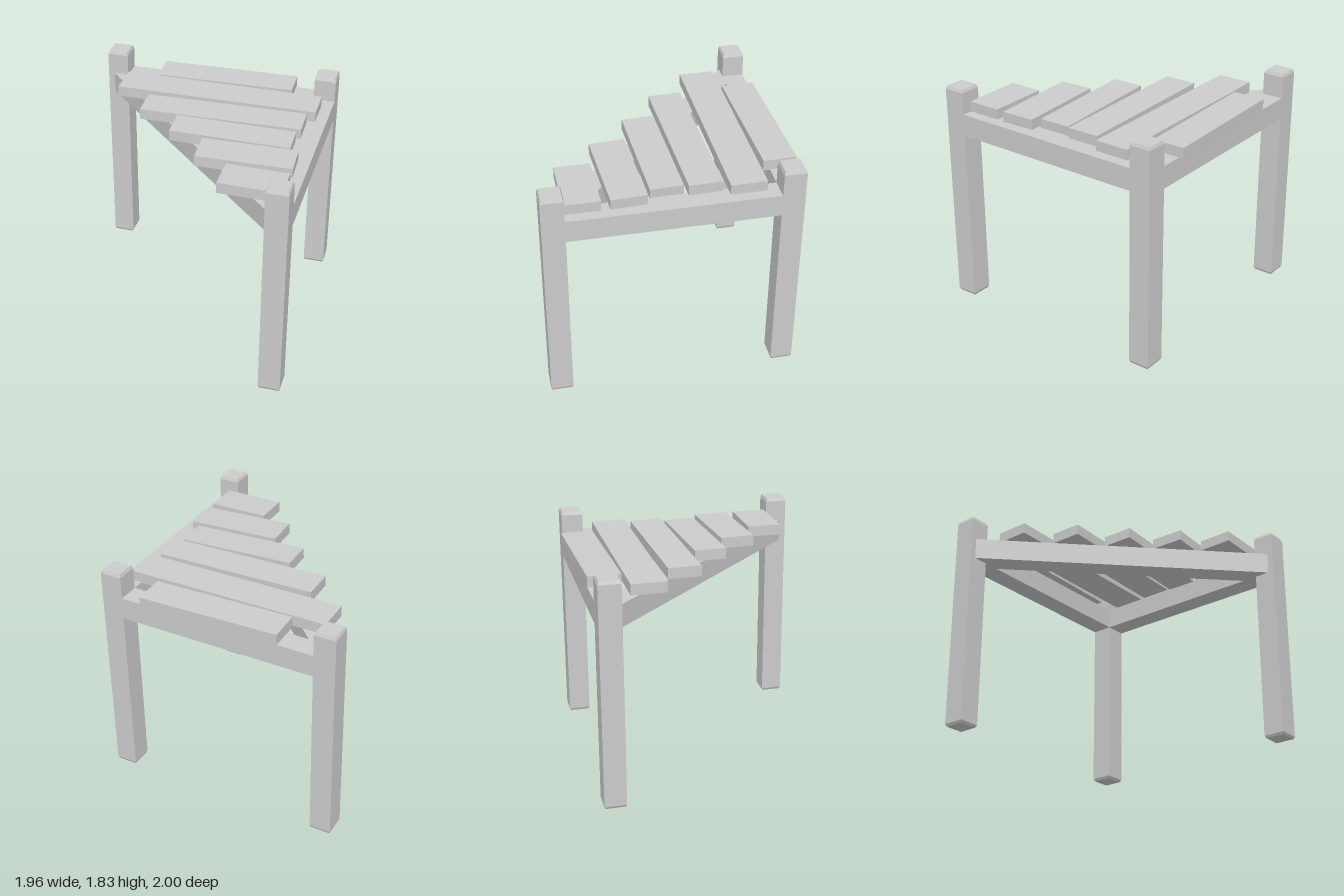
import * as THREE from 'three';

const material = new THREE.MeshStandardMaterial({ color: 0xcccccc, flatShading: true });

// Square post with small chamfers at foot and top
function makeLeg(name, x, z) {
  const half = 0.0875, inset = 0.01, height = 1.83;
  const profile = [
    [0, 0], [half - inset, 0], [half, 0.02],
    [half, height - 0.025], [half - inset, height], [0, height],
  ].map(([r, y]) => new THREE.Vector2(r * Math.SQRT2, y));
  const leg = new THREE.Mesh(new THREE.LatheGeometry(profile, 4, Math.PI / 4), material);
  leg.name = name;
  leg.position.set(x, 0, z);
  return leg;
}

// Box laid along the line from a to b
function makeBar(name, a, b, height, width) {
  const from = new THREE.Vector3(...a), to = new THREE.Vector3(...b);
  const d = to.clone().sub(from);
  const bar = new THREE.Mesh(new THREE.BoxGeometry(d.length(), height, width), material);
  bar.name = name;
  bar.position.copy(from).add(to).multiplyScalar(0.5);
  bar.rotation.set(0, -Math.atan2(d.z, d.x), Math.atan2(d.y, Math.hypot(d.x, d.z)), 'YXZ');
  return bar;
}

export function createModel() {
  const model = new THREE.Group();
  model.name = 'triangularPlatform';

  // Three legs at the corners of a right triangle
  const corners = { backRight: [-0.897, -0.88], backLeft: [0.893, -0.88], frontLeft: [0.893, 0.908] };
  for (const [name, [x, z]] of Object.entries(corners)) model.add(makeLeg(name + 'Leg', x, z));

  // Beams joining the legs
  const beam = (name, p, q) =>
    model.add(makeBar(name, [p[0], 1.54, p[1]], [q[0], 1.54, q[1]], 0.178, 0.175));
  beam('backBeam', corners.backRight, corners.backLeft);
  beam('sideBeam', corners.backLeft, corners.frontLeft);
  beam('diagonalBeam', corners.backRight, corners.frontLeft);

  // Uneven planks: left end x, z, y; right end x, z, y; width
  const planks = [
    [-0.515, -0.838, 1.672, 0.625, -0.871, 1.668, 0.262],
    [-0.765, -0.548, 1.672, 0.89, -0.56, 1.668, 0.28],
    [-0.475, -0.212, 1.672, 0.832, -0.248, 1.669, 0.264],
    [-0.145, 0.075, 1.684, 0.808, 0.042, 1.660, 0.257],
    [0.142, 0.375, 1.680, 0.89, 0.338, 1.668, 0.277],
    [0.405, 0.683, 1.674, 0.893, 0.683, 1.668, 0.278],
  ];
  planks.forEach(([x0, z0, y0, x1, z1, y1, w], i) =>
    model.add(makeBar('plank' + (i + 1), [x0, y0, z0], [x1, y1, z1], 0.087, w)));

  return model;
}
